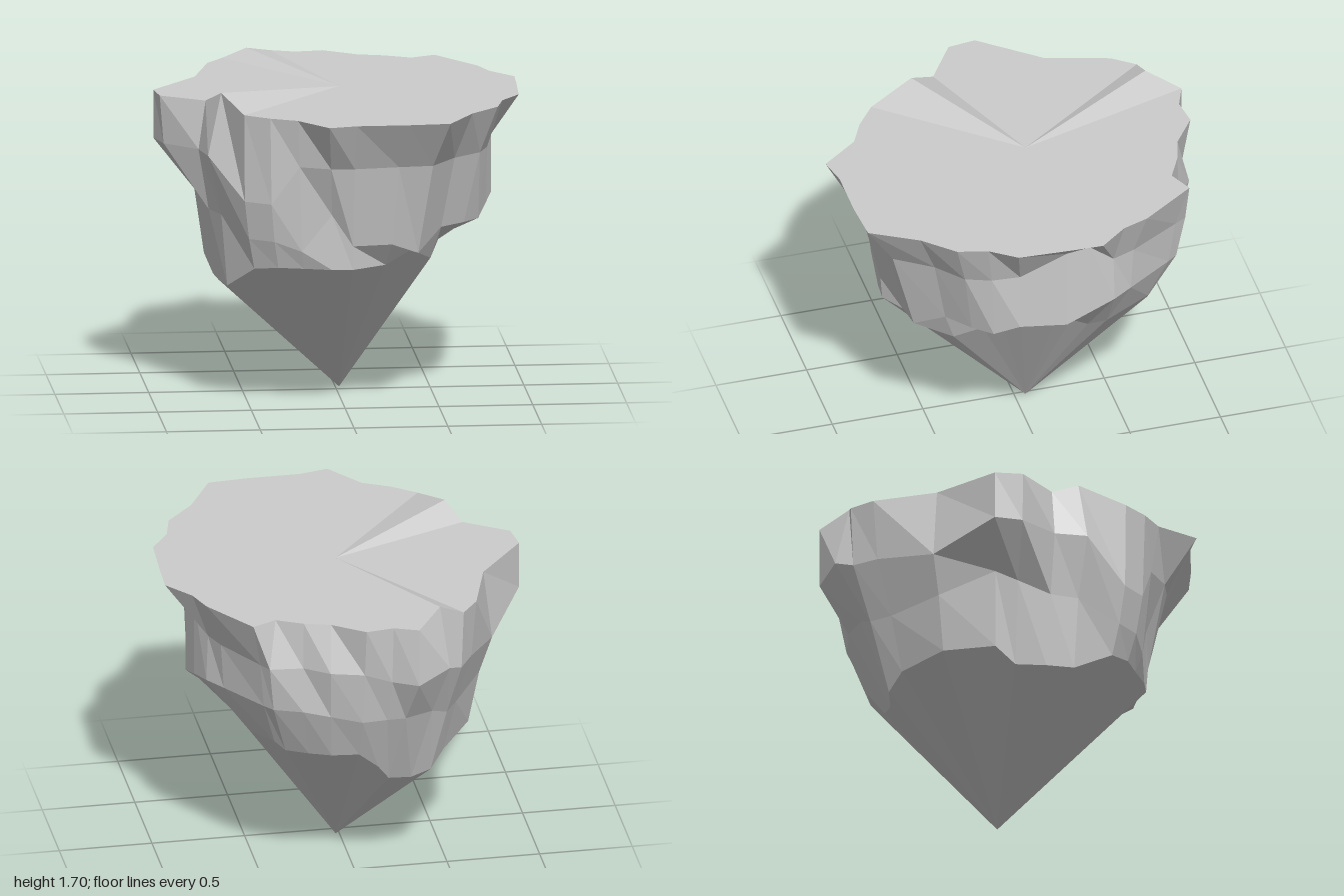
import * as THREE from 'three';

const CX = 0.02, CZ = -0.06, TOP = 1.63;

// Plateau outline, x and z pairs, running from the left side round the front
const outline = [
  0.965, -0.06, 0.95, 0.24, 0.85, 0.38, 0.81, 0.54, 0.66, 0.70, 0.52, 0.95,
  0.30, 0.965, 0.02, 0.965, -0.13, 1.0, -0.28, 0.80, -0.42, 0.73, -0.55, 0.63,
  -0.65, 0.38, -0.72, 0.24, -0.95, 0.09, -0.97, -0.06, -0.72, -0.37, -0.62, -0.71,
  -0.53, -0.83, -0.40, -0.84, -0.26, -1.0, -0.13, -0.95, 0.02, -0.97, 0.19, -0.85,
  0.33, -0.81, 0.47, -0.74, 0.60, -0.80, 0.80, -0.51, 0.85, -0.37, 0.97, -0.22,
];
// The two rim corners that rise above the plateau
const peaks = { 12: 1.70, 19: 1.68 };

// Cliff rings, radius and height pairs, one pair per outline corner
const cliff = [
  0.81, 1.51, 0.80, 1.37, 0.85, 1.37, 0.88, 1.37, 0.86, 1.37, 0.95, 1.37,
  0.90, 1.37, 0.90, 1.37, 0.90, 1.37, 0.87, 1.37, 0.89, 1.16, 0.89, 1.16,
  0.89, 1.37, 0.84, 1.37, 0.96, 1.37, 0.99, 1.37, 0.85, 1.25, 0.88, 1.30,
  0.93, 1.30, 0.97, 1.35, 0.98, 1.30, 0.88, 1.30, 0.86, 1.35, 0.87, 1.37,
  0.82, 1.37, 0.89, 1.37, 0.86, 1.37, 0.80, 1.37, 0.79, 1.37, 0.80, 1.51,
];
const ledge = [
  0.81, 1.04, 0.80, 1.04, 0.80, 0.98, 0.78, 0.98, 0.76, 0.98, 0.80, 0.87,
  0.80, 0.93, 0.80, 0.93, 0.80, 1.10, 0.82, 0.90, 0.85, 0.95, 0.85, 0.95,
  0.80, 1.04, 0.78, 1.04, 0.78, 1.10, 0.78, 1.15, 0.78, 1.04, 0.78, 1.00,
  0.82, 1.00, 0.82, 1.04, 0.82, 1.04, 0.80, 1.04, 0.80, 1.04, 0.80, 1.08,
  0.82, 1.11, 0.84, 1.11, 0.82, 1.11, 0.78, 1.11, 0.80, 1.11, 0.80, 1.08,
];
const coneRim = [
  0.56, 0.87, 0.56, 0.87, 0.58, 0.87, 0.62, 0.87, 0.68, 0.80, 0.72, 0.87,
  0.70, 0.80, 0.79, 0.80, 0.79, 0.80, 0.78, 0.80, 0.80, 0.80, 0.80, 0.78,
  0.76, 0.65, 0.72, 0.65, 0.69, 0.65, 0.72, 0.74, 0.72, 0.74, 0.70, 0.70,
  0.70, 0.62, 0.64, 0.58, 0.62, 0.60, 0.66, 0.70, 0.69, 0.80, 0.69, 0.80,
  0.68, 0.80, 0.68, 0.80, 0.70, 0.85, 0.60, 0.80, 0.56, 0.80, 0.56, 0.87,
];

const COUNT = outline.length / 2;

// Plateau corners in space
function rimRing() {
  return Array.from({ length: COUNT }, (_, i) =>
    [outline[2 * i], peaks[i] ?? TOP, outline[2 * i + 1]]);
}

// A lower ring follows the direction of each plateau corner
function lowerRing(profile) {
  return Array.from({ length: COUNT }, (_, i) => {
    const a = Math.atan2(outline[2 * i + 1] - CZ, outline[2 * i] - CX);
    const r = profile[2 * i];
    return [CX + r * Math.cos(a), profile[2 * i + 1], CZ + r * Math.sin(a)];
  });
}

// Wall between two rings
function band(upper, lower) {
  return upper.flatMap((a, i) => {
    const j = (i + 1) % COUNT;
    return [a, upper[j], lower[i], upper[j], lower[j], lower[i]];
  });
}

// Triangle fan from a ring to one point
function fan(ring, point, facesUp) {
  return ring.flatMap((a, i) => {
    const b = ring[(i + 1) % COUNT];
    return facesUp ? [point, b, a] : [a, b, point];
  });
}

function createModel() {
  const group = new THREE.Group();
  group.name = 'floatingRock';
  const material = new THREE.MeshStandardMaterial({ color: 0xcccccc, flatShading: true });

  const add = (name, corners) => {
    const geometry = new THREE.BufferGeometry();
    geometry.setAttribute('position', new THREE.Float32BufferAttribute(corners.flat(), 3));
    geometry.computeVertexNormals();
    const mesh = new THREE.Mesh(geometry, material);
    mesh.name = name;
    group.add(mesh);
  };

  const rim = rimRing();
  const [upper, middle, lower] = [cliff, ledge, coneRim].map(lowerRing);

  add('plateau', fan(rim, [CX, TOP, CZ], true));
  add('upperCliff', band(rim, upper));
  add('lowerCliff', band(upper, middle));
  add('undersideLedge', band(middle, lower));
  add('pointedBase', fan(lower, [CX, 0, CZ], false));
  return group;
}

export { createModel };
